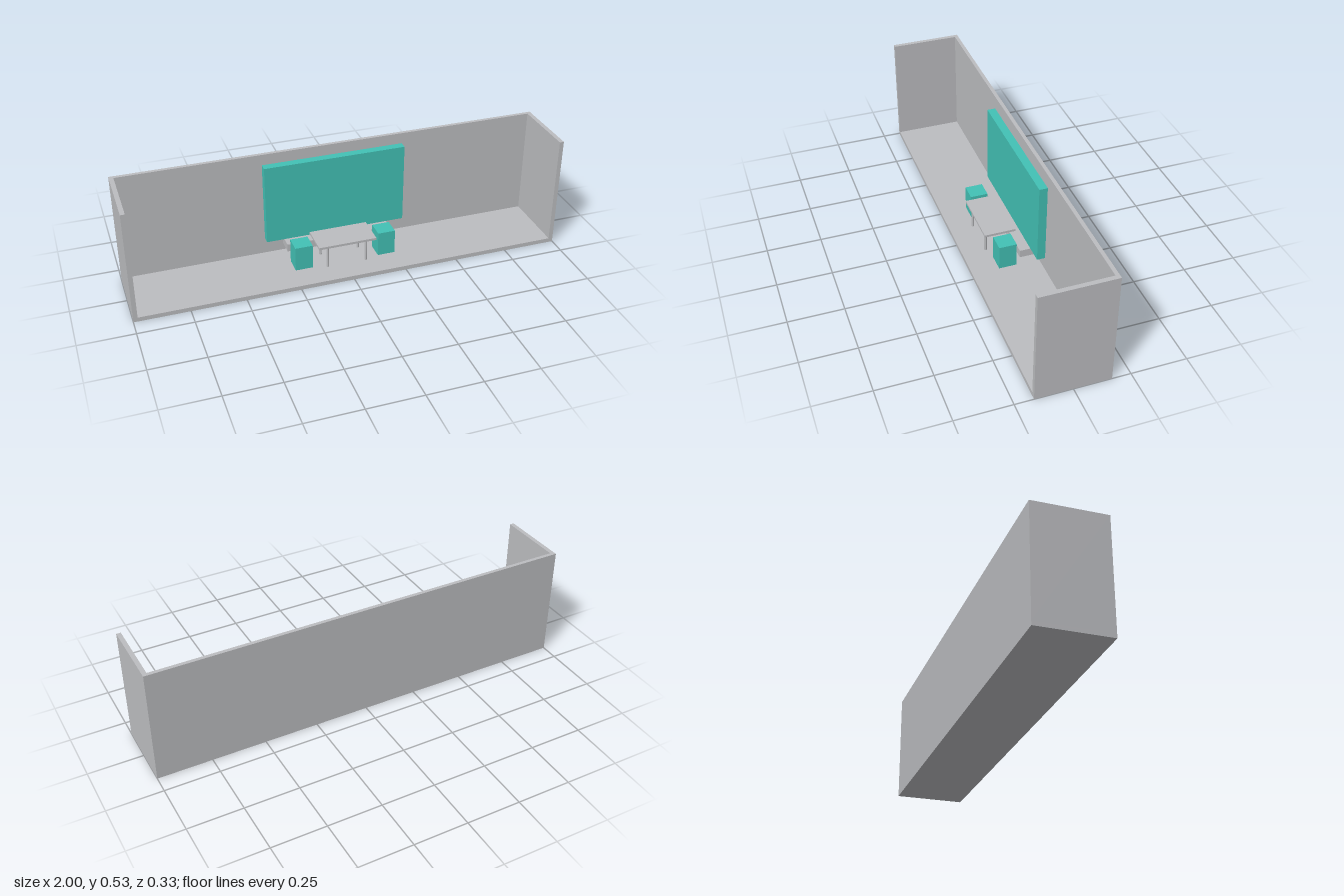
import * as THREE from 'three';

export function createModel() {
  const model = new THREE.Group();
  model.name = 'boothWithDisplay';

  const grey = new THREE.MeshStandardMaterial({ color: 0xbcbdc0 });
  grey.name = 'light grey';
  const teal = new THREE.MeshStandardMaterial({ color: 0x42c1b5 });
  teal.name = 'teal';

  const add = (name, geometry, material, parent = model) => {
    const mesh = new THREE.Mesh(geometry, material);
    mesh.name = name;
    parent.add(mesh);
    return mesh;
  };

  // Box given by its extents along each axis
  const box = (name, material, [x0, x1], [y0, y1], [z0, z1], parent) => {
    const geometry = new THREE.BoxGeometry(x1 - x0, y1 - y0, z1 - z0);
    geometry.translate((x0 + x1) / 2, (y0 + y1) / 2, (z0 + z1) / 2);
    return add(name, geometry, material, parent);
  };

  const W = 1, H = 0.533, D = 0.167, wall = 0.02, floorTop = 0.02;

  // Open room: floor, back wall and two side walls
  const room = new THREE.Group();
  room.name = 'room';
  model.add(room);
  box('floor', grey, [-W, W], [0, floorTop], [-D, D], room);
  box('backWall', grey, [-W + wall, W - wall], [floorTop, H], [-D, -D + 0.017], room);
  box('rightWall', grey, [-W, -W + wall], [floorTop, H], [-D, D], room);
  box('leftWall', grey, [W - wall, W], [floorTop, H], [-D, D], room);

  // Large panel with a low shelf beneath it
  box('displayPanel', teal, [-0.333, 0.333], [0.105, 0.487], [-0.14, -0.102], model);
  box('shelf', grey, [-0.25, 0.25], [0.067, 0.104], [-0.135, -0.053], model);

  // Table on four thin round legs
  const table = new THREE.Group();
  table.name = 'table';
  model.add(table);
  box('tableTop', grey, [-0.137, 0.137], [0.127, 0.138], [-0.073, 0.073], table);
  const legHeight = 0.127 - floorTop;
  const legGeometry = new THREE.CylinderGeometry(0.006, 0.006, legHeight, 16);
  for (const x of [-0.092, 0.092]) {
    for (const z of [-0.055, 0.055]) {
      add('tableLeg', legGeometry, grey, table).position.set(x, floorTop + legHeight / 2, z);
    }
  }

  // Block stools at both ends of the table
  box('rightStool', teal, [-0.24, -0.158], [floorTop, 0.137], [-0.041, 0.041], model);
  box('leftStool', teal, [0.158, 0.24], [floorTop, 0.137], [-0.041, 0.041], model);

  return model;
}
